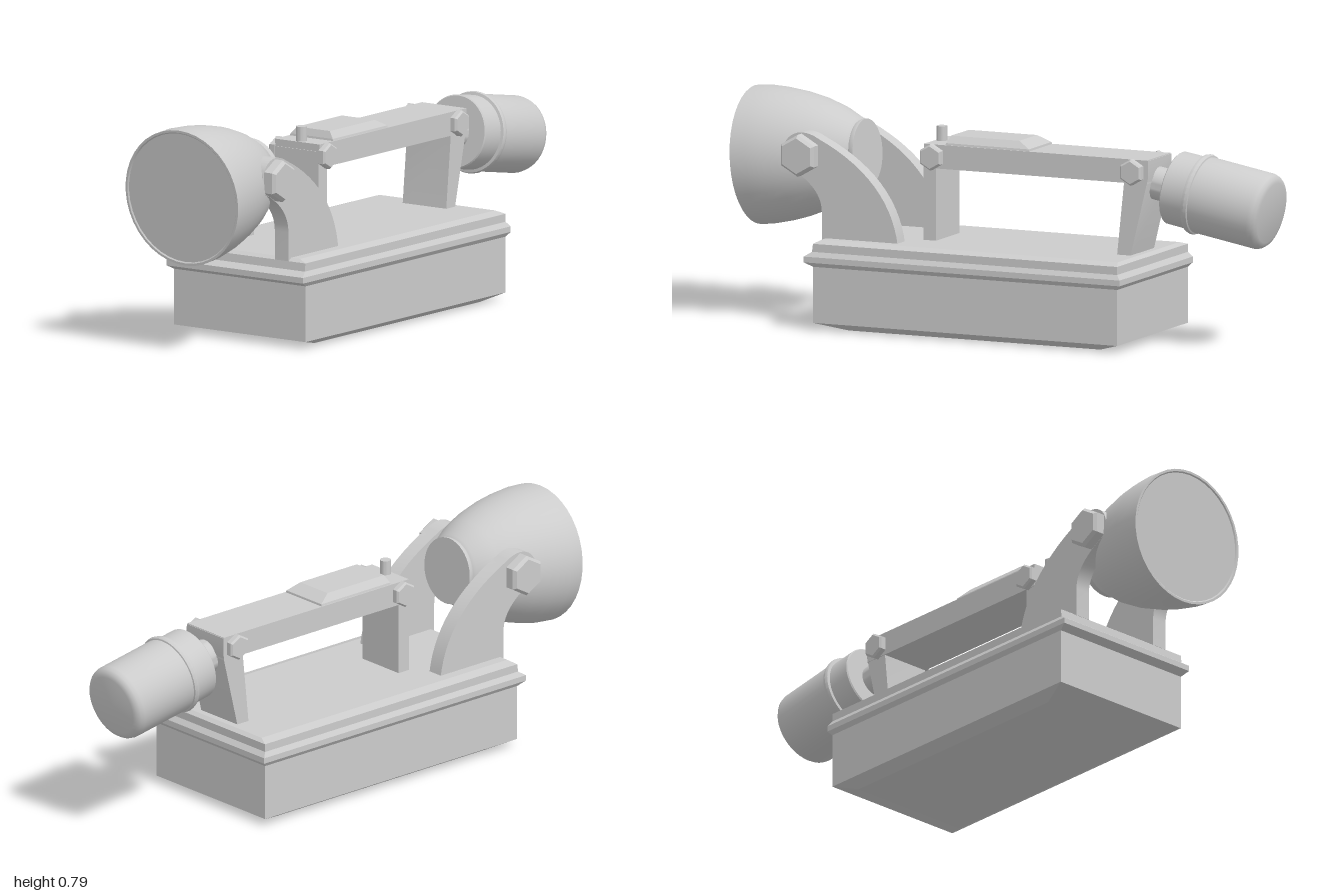
import * as THREE from 'three';
import { toCreasedNormals, mergeVertices } from 'three/addons/utils/BufferGeometryUtils.js';

const material = new THREE.MeshStandardMaterial({ color: 0xcccccc });
const flat = new THREE.MeshStandardMaterial({ color: 0xcccccc, flatShading: true });

export function createModel() {
  const model = new THREE.Group();
  model.name = 'swivelLantern';

  const add = (name, geometry, mat = flat, parent = model) => {
    const mesh = new THREE.Mesh(geometry, mat);
    mesh.name = name;
    parent.add(mesh);
    return mesh;
  };

  const lathe = (profile, segments) =>
    new THREE.LatheGeometry(profile.map(([r, y]) => new THREE.Vector2(r, y)), segments);

  // Turned part whose axis starts at (x, y) and leans by angle from +x
  const turned = (name, profile, x, y, angle) => {
    const mesh = add(name, toCreasedNormals(lathe(profile, 40), 0.6), material);
    mesh.position.set(x, y, 0);
    mesh.rotation.z = angle - Math.PI / 2;
    return mesh;
  };

  // Flat outline extruded between two depths
  const plate = (name, shape, z0, z1) => {
    const geometry = new THREE.ExtrudeGeometry(shape, { depth: z1 - z0, bevelEnabled: false, curveSegments: 14 });
    geometry.translate(0, 0, z0);
    return add(name, toCreasedNormals(geometry, 0.5), material);
  };
  const outline = (points) => new THREE.Shape(points.map(([x, y]) => new THREE.Vector2(x, y)));

  // Stack of rectangles [y, halfX, halfZ, centreX], closed at both ends
  const stack = (levels) => {
    const positions = [], index = [];
    for (const [y, hx, hz, cx] of levels)
      for (const [sx, sz] of [[-1, 1], [1, 1], [1, -1], [-1, -1]]) positions.push(cx + sx * hx, y, sz * hz);
    for (let l = 0; l < levels.length - 1; l++)
      for (let i = 0; i < 4; i++) {
        const a = l * 4 + i, b = l * 4 + (i + 1) % 4;
        index.push(a, b, b + 4, a, b + 4, a + 4);
      }
    const t = (levels.length - 1) * 4;
    index.push(0, 2, 1, 0, 3, 2, t, t + 1, t + 2, t, t + 2, t + 3);
    const geometry = new THREE.BufferGeometry();
    geometry.setAttribute('position', new THREE.Float32BufferAttribute(positions, 3));
    geometry.setIndex(index);
    geometry.computeVertexNormals();
    return geometry;
  };

  // Chamfered hexagonal bolt heads on both sides
  const boltPair = (name, x, y, z, radius, height) => {
    const profile = [[0, 0], [radius, 0], [radius, height * 0.75], [radius * 0.85, height], [0, height]];
    for (const side of [1, -1]) {
      const bolt = add(name + (side > 0 ? 'Left' : 'Right'), lathe(profile, 6));
      bolt.position.set(x, y, side * z);
      bolt.rotation.x = side * Math.PI / 2;
    }
  };

  // Battery case with chamfered foot and raised band
  add('batteryCase', stack([
    [0, 0.48, 0.235, -0.05],
    [0.025, 0.58, 0.28, -0.064],
    [0.22, 0.58, 0.28, -0.064],
    [0.235, 0.602, 0.291, -0.072],
    [0.255, 0.602, 0.291, -0.072],
    [0.272, 0.582, 0.28, -0.066],
    [0.3, 0.58, 0.28, -0.064],
    [0.31, 0.565, 0.245, -0.064],
  ]));

  // Curved arms carrying the lamp head
  const arm = new THREE.Shape();
  arm.moveTo(-0.645, 0.3);
  arm.lineTo(-0.355, 0.3);
  arm.quadraticCurveTo(-0.385, 0.53, -0.66, 0.655);
  arm.quadraticCurveTo(-0.69, 0.672, -0.72, 0.672);
  arm.absarc(-0.72, 0.597, 0.075, Math.PI / 2, Math.PI * 1.2, false);
  arm.quadraticCurveTo(-0.645, 0.49, -0.645, 0.4);
  arm.closePath();
  plate('armLeft', arm, 0.15, 0.208);
  plate('armRight', arm, -0.208, -0.15);
  boltPair('armBolt', -0.722, 0.595, 0.205, 0.073, 0.047);

  // Flared main lamp with a flat lens
  turned('lampHead', [
    [0, 0.004], [0.228, 0.004], [0.232, 0], [0.24, 0], [0.239, 0.05], [0.231, 0.11], [0.217, 0.175],
    [0.194, 0.25], [0.163, 0.32], [0.122, 0.385], [0.113, 0.392], [0.117, 0.4], [0.117, 0.411], [0, 0.411],
  ], -0.98, 0.548, 0.084);

  // Carrying handle on two posts
  plate('handleBar', outline([[-0.31, 0.562], [0.54, 0.562], [0.54, 0.645], [-0.31, 0.645]]), -0.095, 0.095);
  plate('frontPost', outline([[-0.313, 0.3], [-0.265, 0.3], [-0.265, 0.62], [-0.313, 0.62]]), -0.093, 0.093);
  plate('rearPost', outline([[0.425, 0.3], [0.475, 0.3], [0.543, 0.58], [0.543, 0.643], [0.45, 0.643], [0.452, 0.56]]), -0.093, 0.093);
  boltPair('frontPostBolt', -0.277, 0.602, 0.093, 0.046, 0.027);
  boltPair('rearPostBolt', 0.487, 0.602, 0.093, 0.046, 0.027);

  // Sloped switch plate and push button on the handle
  add('switchPlate', stack([
    [0.64, 0.16, 0.093, -0.07],
    [0.652, 0.158, 0.09, -0.07],
    [0.676, 0.13, 0.07, -0.088],
  ]));
  const button = add('pushButton', toCreasedNormals(new THREE.CylinderGeometry(0.019, 0.019, 0.06, 20), 0.6), material);
  button.position.set(-0.287, 0.666, 0);

  // Tail lamp on a short neck
  turned('tailLampNeck', [[0, 0], [0.058, 0], [0.058, 0.11], [0, 0.11]], 0.515, 0.557, -0.175);
  turned('tailLamp', [
    [0, 0], [0.124, 0], [0.128, 0.004], [0.129, 0.088], [0.139, 0.09], [0.142, 0.1], [0.139, 0.11],
    [0.134, 0.112], [0.134, 0.34], [0.13, 0.355], [0.121, 0.366], [0.106, 0.371], [0, 0.371],
  ], 0.605, 0.543, -0.175);

  return model;
}
